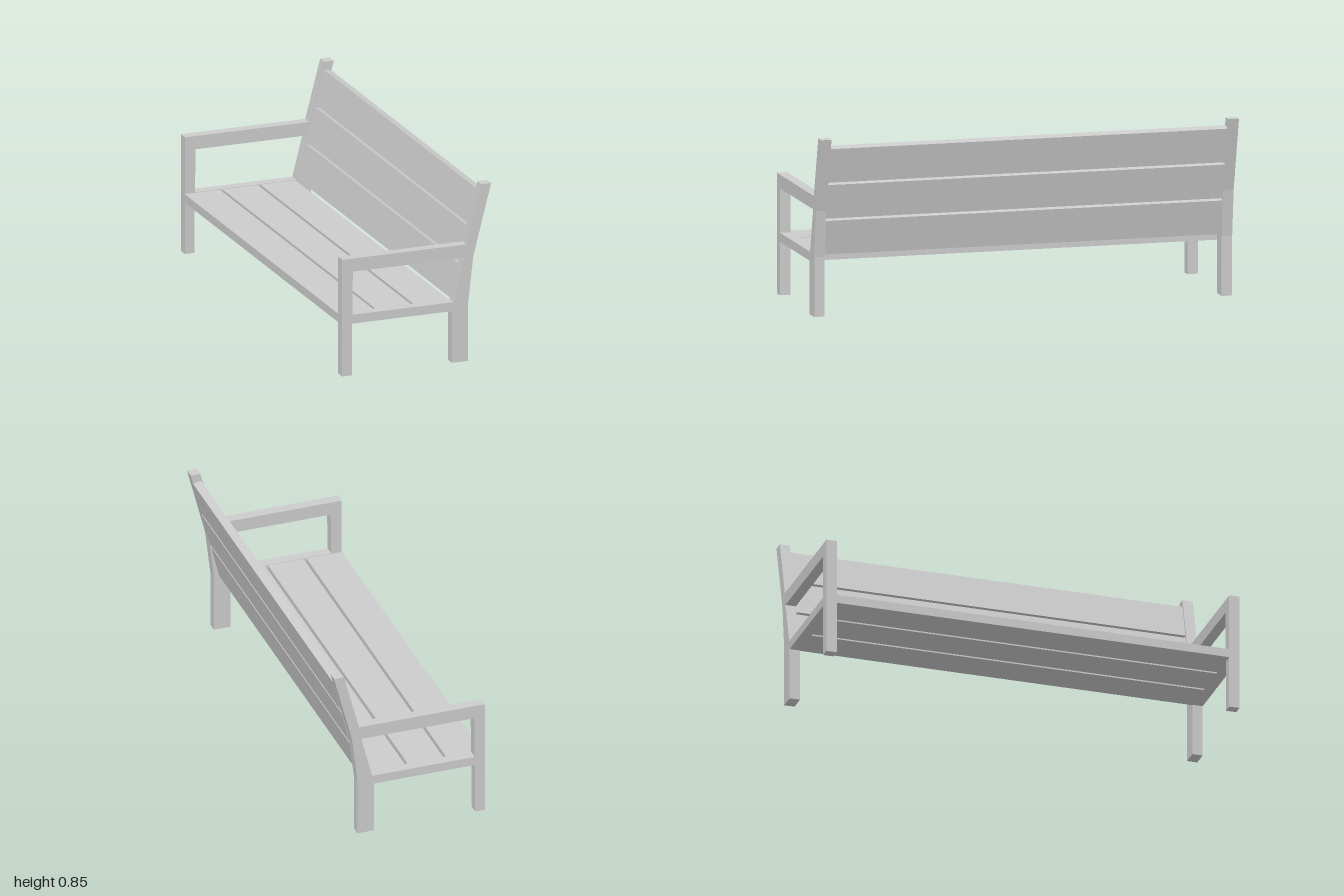
import * as THREE from 'three';

const HALF = 1, FRAME = 0.05;            // half length, side frame thickness
const material = new THREE.MeshStandardMaterial({ color: 0xcccccc, flatShading: true });
const points = (list) => list.map(([x, y]) => new THREE.Vector2(x, y));

// Side frame: legs, seat rail, armrest and raked back post in one outline
function sideFrameGeometry() {
  const shape = new THREE.Shape(points([
    [-0.37, 0], [-0.322, 0], [-0.322, 0.25], [0.174, 0.25], [0.174, 0], [0.254, 0],
    [0.254, 0.28], [0.279, 0.5], [0.368, 0.847], [0.32, 0.847], [0.246, 0.565], [-0.37, 0.565],
  ]));
  // Opening under the armrest
  shape.holes.push(new THREE.Path(points([
    [-0.32, 0.293], [-0.317, 0.501], [0.235, 0.501], [0.182, 0.293],
  ])));
  return new THREE.ExtrudeGeometry(shape, { depth: FRAME, bevelEnabled: false });
}

// Plank running the length of the bench between the frames
function plank(name, width, thickness) {
  const geometry = new THREE.BoxGeometry(width, thickness, 2 * (HALF - FRAME));
  const mesh = new THREE.Mesh(geometry, material);
  mesh.name = name;
  return mesh;
}

export function createModel() {
  const bench = new THREE.Group();
  bench.name = 'bench';

  // Two matching side frames
  const frameGeometry = sideFrameGeometry();
  for (const [name, z] of [['frontSideFrame', HALF - FRAME], ['backSideFrame', -HALF]]) {
    const frame = new THREE.Mesh(frameGeometry, material);
    frame.name = name;
    frame.position.z = z;
    bench.add(frame);
  }

  // Three seat slats
  const seat = new THREE.Group();
  seat.name = 'seat';
  for (let i = 0; i < 3; i++) {
    const slat = plank(`seatSlat${i + 1}`, 0.174, 0.041);
    slat.position.set(-0.285 + i * 0.188, 0.2705, 0);
    seat.add(slat);
  }
  bench.add(seat);

  // Three backrest slats, stacked upwards in a group that leans back
  const backrest = new THREE.Group();
  backrest.name = 'backrest';
  backrest.position.set(0.19, 0.295, 0);
  backrest.rotation.z = -Math.atan(0.247);
  for (let i = 0; i < 3; i++) {
    const slat = plank(`backSlat${i + 1}`, 0.04, 0.169);
    slat.position.set(0.02, 0.0845 + i * 0.181, 0);
    backrest.add(slat);
  }
  bench.add(backrest);

  return bench;
}
